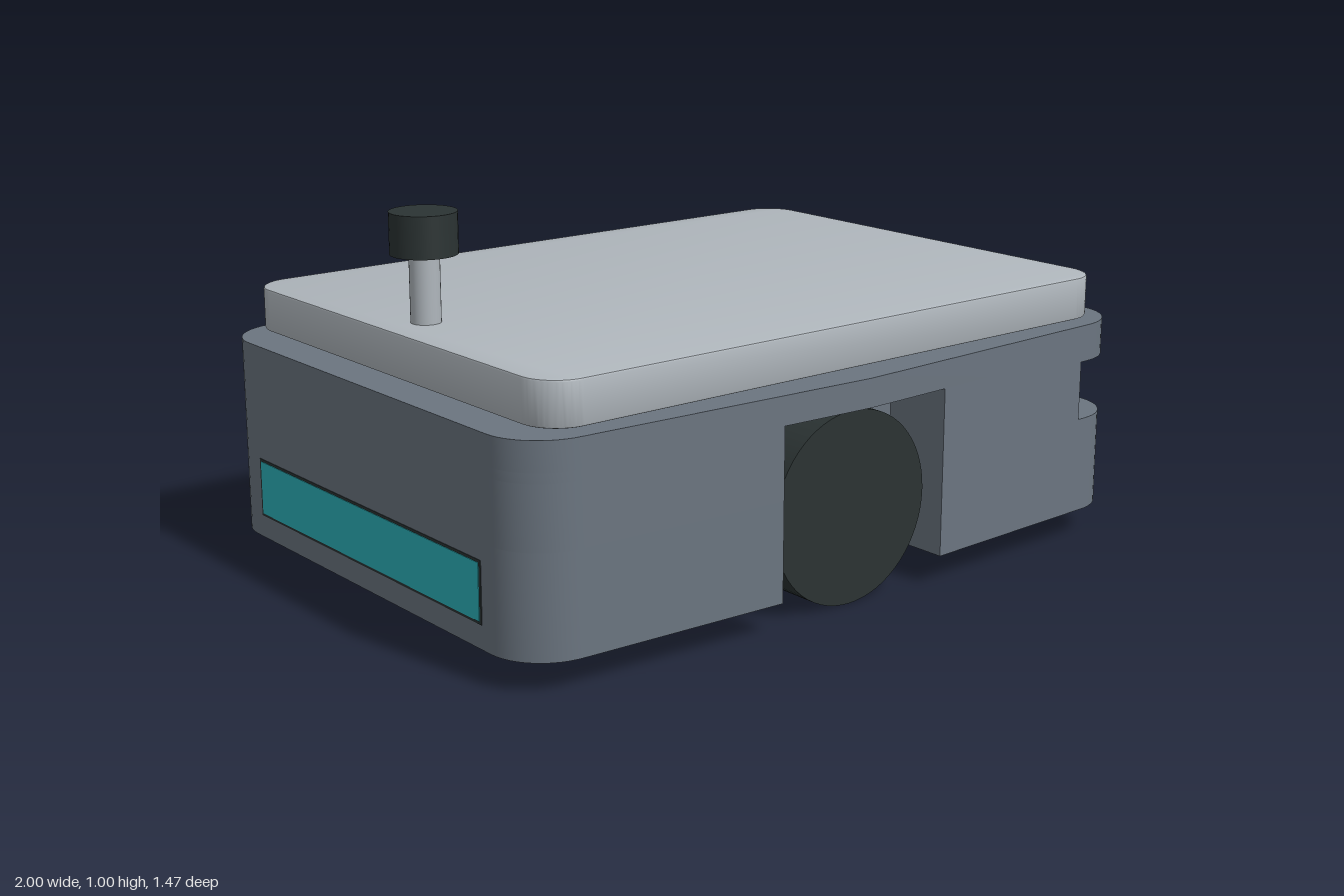
import * as THREE from 'three';
import { toCreasedNormals } from 'three/addons/utils/BufferGeometryUtils.js';

const mat = (name, color, extra = {}) => {
  const m = new THREE.MeshStandardMaterial({ color, ...extra });
  m.name = name;
  return m;
};

export function createModel() {
  const root = new THREE.Group();
  root.name = 'mobileRobot';
  const bodyGrey = mat('body grey', 0x6b7580);
  const deckGrey = mat('deck grey', 0xafb6bc);
  const black = mat('rubber black', 0x2b3333);
  const teal = mat('light teal', 0x2cb3bc);
  const silver = mat('contact silver', 0xc9ced2);

  const add = (name, geo, material, x = 0, y = 0, z = 0, parent = root) => {
    const m = new THREE.Mesh(geo, material);
    m.name = name;
    m.position.set(x, y, z);
    parent.add(m);
    return m;
  };

  // Plan outline: rounded ends, sides swelling to the middle, optional wheel wells and cut right end
  const END = 0.998, CORNER = 0.84, SIDE = 0.695, MID = 0.735, WELL = 0.27, WELL_Z = 0.53;
  const sideAt = x => MID - (MID - SIDE) * Math.abs(x) / CORNER;
  function outline(wells, cutX) {
    const s = new THREE.Shape();
    const side = (sign) => {
      // runs along one long side, towards -x for sign 1 and towards +x for sign -1
      if (wells) {
        s.lineTo(sign * WELL, sign * sideAt(WELL));
        s.lineTo(sign * WELL, sign * WELL_Z);
        s.lineTo(-sign * WELL, sign * WELL_Z);
        s.lineTo(-sign * WELL, sign * sideAt(WELL));
      } else s.lineTo(0, sign * MID);
    };
    const zc = SIDE - 0.15;
    if (cutX) {
      s.moveTo(cutX, -sideAt(cutX));
      s.lineTo(cutX, sideAt(cutX));
    } else {
      s.moveTo(CORNER, -SIDE);
      s.bezierCurveTo(0.93, -SIDE, END, -zc - 0.08, END, -zc);
      s.lineTo(END, zc);
      s.bezierCurveTo(END, zc + 0.08, 0.93, SIDE, CORNER, SIDE);
    }
    side(1);
    s.lineTo(-CORNER, SIDE);
    s.bezierCurveTo(-0.93, SIDE, -END, zc + 0.08, -END, zc);
    s.lineTo(-END, -zc);
    s.bezierCurveTo(-END, -zc - 0.08, -0.93, -SIDE, -CORNER, -SIDE);
    side(-1);
    s.closePath();
    return s;
  }
  const slab = (shape, y0, y1, bevel = 0) => {
    const g = new THREE.ExtrudeGeometry(shape, {
      depth: y1 - y0 - 2 * bevel, curveSegments: 12,
      bevelEnabled: bevel > 0, bevelSize: bevel, bevelThickness: bevel, bevelOffset: -bevel, bevelSegments: 2,
    });
    g.rotateX(-Math.PI / 2).translate(0, y0 + bevel, 0);
    return toCreasedNormals(g, 0.4);
  };

  // Chassis in layers, leaving the scanner slot and wheel wells open
  const chassis = new THREE.Group();
  chassis.name = 'chassis';
  root.add(chassis);
  add('lowerBody', slab(outline(true), 0.08, 0.34), bodyGrey, 0, 0, 0, chassis);
  add('slotBody', slab(outline(true, 0.82), 0.34, 0.5), bodyGrey, 0, 0, 0, chassis);
  add('slotRoof', slab(outline(true), 0.5, 0.525), bodyGrey, 0, 0, 0, chassis);
  add('upperBody', slab(outline(false), 0.525, 0.6), bodyGrey, 0, 0, 0, chassis);

  // Load deck
  const dx = 0.92, dz = 0.67, r = 0.1;
  const deck = new THREE.Shape();
  deck.absarc(dx - r, dz - r, r, 0, Math.PI / 2);
  deck.absarc(-dx + r, dz - r, r, Math.PI / 2, Math.PI);
  deck.absarc(-dx + r, -dz + r, r, Math.PI, Math.PI * 1.5);
  deck.absarc(dx - r, -dz + r, r, Math.PI * 1.5, Math.PI * 2);
  add('loadDeck', slab(deck, 0.612, 0.725, 0.006), deckGrey);

  // Stop button on its post
  add('buttonPost', new THREE.CylinderGeometry(0.038, 0.038, 0.19, 32), deckGrey, -0.8, 0.81, 0);
  add('buttonCap', new THREE.CylinderGeometry(0.084, 0.084, 0.105, 40), black, -0.8, 0.9475, 0);

  // Scanner in the slot
  add('scanner', new THREE.CylinderGeometry(0.073, 0.073, 0.098, 40), black, 0.923, 0.387, 0);

  // Drive wheels
  for (const s of [1, -1]) {
    const wheel = new THREE.CylinderGeometry(0.252, 0.252, 0.114, 64).rotateX(Math.PI / 2);
    add(s > 0 ? 'frontWheel' : 'backWheel', wheel, black, 0, 0.253, s * 0.613);
  }

  for (const s of [1, -1]) {
    // Ball casters
    add(s > 0 ? 'leftCaster' : 'rightCaster', new THREE.SphereGeometry(0.066, 32, 20), black, s * 0.725, 0.067, 0);
    // Light bars at both ends
    const end = s > 0 ? 'left' : 'right';
    add(end + 'LightFrame', new THREE.BoxGeometry(0.004, 0.156, 1.024), black, s * 0.9975, 0.218, 0);
    add(end + 'LightBar', new THREE.BoxGeometry(0.006, 0.142, 1.008), teal, s * 0.998, 0.218, 0);
  }

  // Charging contacts
  add('contactPlate', new THREE.BoxGeometry(0.006, 0.07, 0.2), black, 0.998, 0.56, 0);
  for (const s of [1, -1]) {
    const pin = new THREE.CylinderGeometry(0.018, 0.018, 0.006, 20).rotateZ(Math.PI / 2);
    add('chargeContact', pin, silver, 1.0, 0.56, s * 0.048);
  }
  return root;
}
